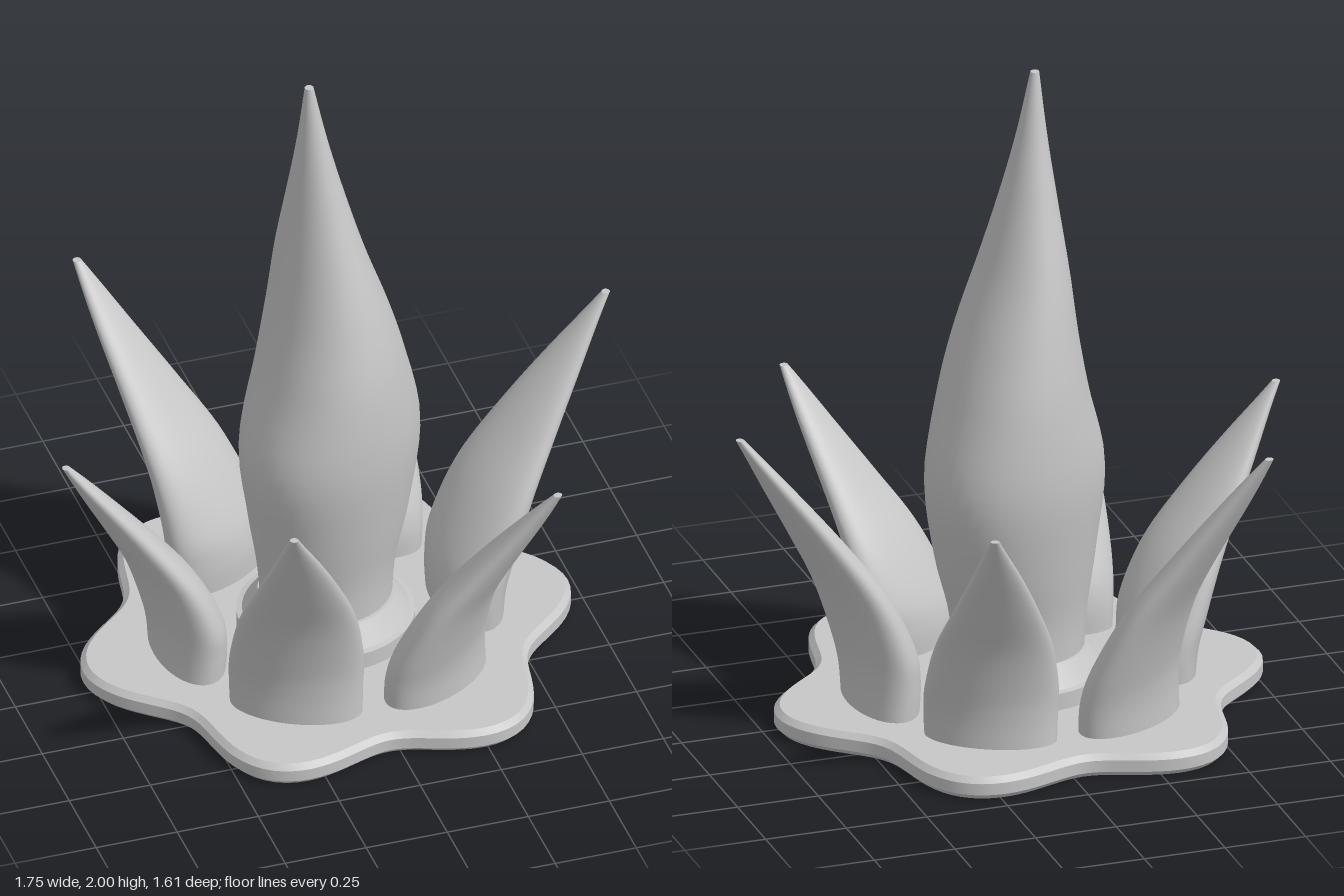
import * as THREE from 'three';
import { toCreasedNormals } from 'three/addons/utils/BufferGeometryUtils.js';

const CX = -0.033, CZ = -0.03; // middle of the rosette
const SEG = 48, ROWS = 40;

// Smooth leaf through horizontal sections [y, centreX, centreZ, halfX, halfZ, skew]; skew slants the ellipse
function leafGeometry(sections) {
  const centre = new THREE.CatmullRomCurve3(sections.map(([y, x, z]) => new THREE.Vector3(x, y, z)), false, 'catmullrom');
  const size = new THREE.CatmullRomCurve3(sections.map(([, , , a, b, s]) => new THREE.Vector3(a, s, b)), false, 'catmullrom');
  const pos = [], idx = [];
  for (let j = 0; j <= ROWS + 1; j++) { // the last ring is doubled for a crisp tip
    const t = Math.min(j / ROWS, 1);
    const c = centre.getPoint(t), h = size.getPoint(t);
    for (let i = 0; i < SEG; i++) {
      const a = (i / SEG) * Math.PI * 2;
      pos.push(c.x + h.x * Math.cos(a), c.y, c.z + h.z * Math.sin(a + h.y));
    }
  }
  for (let j = 0; j < ROWS; j++) {
    for (let i = 0; i < SEG; i++) {
      const n = (i + 1) % SEG, lo = j * SEG, hi = lo + SEG;
      idx.push(lo + i, hi + i, lo + n, hi + i, hi + n, lo + n);
    }
  }
  // flat tip cap
  const cap = (ROWS + 1) * SEG;
  for (let i = 1; i < SEG - 1; i++) idx.push(cap, cap + i + 1, cap + i);
  const g = new THREE.BufferGeometry();
  g.setAttribute('position', new THREE.Float32BufferAttribute(pos, 3));
  g.setIndex(idx);
  g.computeVertexNormals();
  return g;
}

export function createModel() {
  const group = new THREE.Group();
  const grey = new THREE.MeshStandardMaterial({ color: 0xc6c6c6 });
  grey.name = 'grey';
  const add = (name, geometry, x = 0, y = 0, z = 0) => {
    const mesh = new THREE.Mesh(geometry, grey);
    mesh.name = name;
    mesh.position.set(x, y, z);
    group.add(mesh);
    return mesh;
  };

  // Six-lobed plate with chamfered rims
  const bevel = 0.017;
  const outline = [];
  for (let i = 0; i < 144; i++) {
    const a = (i / 144) * Math.PI * 2;
    const r = 0.677 - bevel + 0.07 * Math.cos(6 * a);
    outline.push(new THREE.Vector2(r * Math.cos(a), r * Math.sin(a)));
  }
  const plate = new THREE.ExtrudeGeometry(new THREE.Shape(outline), {
    depth: 0.07 - 2 * bevel, bevelThickness: bevel, bevelSize: bevel, bevelSegments: 1,
  });
  plate.rotateX(-Math.PI / 2);
  add('basePlate', toCreasedNormals(plate, 0.5), CX, bevel, CZ);

  // Stepped collar around the foot of the central leaf
  const collar = new THREE.LatheGeometry(
    [[0.262, 0.06], [0.262, 0.122], [0.245, 0.125], [0.2, 0.19], [0, 0.19]].map(([r, y]) => new THREE.Vector2(r, y)), 48);
  add('collar', toCreasedNormals(collar, 0.5), CX, 0, CZ);

  // Tall central leaf, bulging low and leaning to one side at the tip
  add('centralLeaf', leafGeometry([
    [0.1, -0.03, -0.035, 0.19, 0.19, 0],
    [0.3, -0.03, -0.035, 0.21, 0.205, -0.1],
    [0.5, -0.02, -0.04, 0.255, 0.25, -0.2],
    [0.75, -0.017, -0.042, 0.287, 0.293, -0.24],
    [1.0, -0.013, -0.042, 0.228, 0.277, -0.13],
    [1.2, -0.022, -0.044, 0.176, 0.231, -0.02],
    [1.4, -0.043, -0.044, 0.126, 0.17, 0.08],
    [1.6, -0.059, -0.04, 0.083, 0.106, 0.1],
    [1.8, -0.073, -0.033, 0.045, 0.053, 0.05],
    [2.0, -0.085, -0.027, 0.013, 0.013, 0],
  ]));

  // Outer leaves: local x points outward, z runs along the rim
  const outerLeaf = (height, reach) => {
    const rows = [ // [t, outward, sideways, half depth, half width, skew]
      [-0.03, 0, 0, 0.1, 0.196, 0],
      [0.1, 0.006, 0, 0.102, 0.198, 0.1],
      [0.22, 0.06, -0.008, 0.1, 0.194, 0.25],
      [0.41, 0.22, -0.026, 0.086, 0.169, 0.38],
      [0.6, 0.455, -0.05, 0.067, 0.123, 0.4],
      [0.8, 0.725, -0.073, 0.042, 0.07, 0.3],
      [1, 1, -0.09, 0.012, 0.013, 0],
    ];
    return leafGeometry(rows.map(([t, out, side, a, b, skew]) =>
      [0.07 + t * (height - 0.07), 0.428 + out * (reach - 0.428), side, a, b, skew]));
  };
  const tall = outerLeaf(0.995, 0.894);
  const short = outerLeaf(0.867, 0.83);
  for (let i = 0; i < 6; i++) {
    const leaf = add(i % 2 ? 'shortOuterLeaf' : 'tallOuterLeaf', i % 2 ? short : tall, CX, 0, CZ);
    leaf.rotation.y = -i * Math.PI / 3;
  }
  return group;
}
